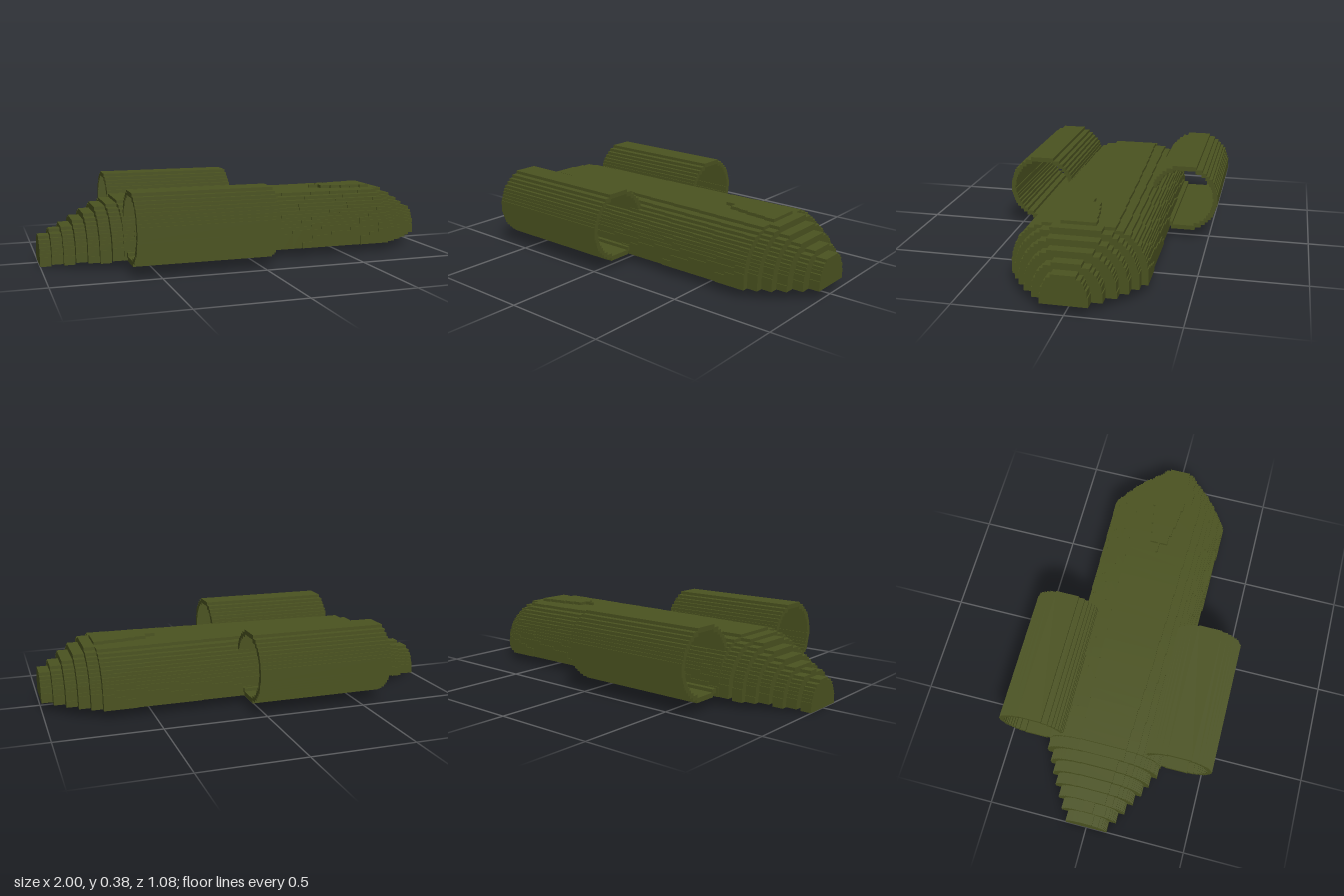
import * as THREE from 'three';
import { mergeGeometries } from 'three/addons/utils/BufferGeometryUtils.js';

const STEP = 0.0152;      // height of one layer
const SLICE = 2 / 38;     // length of one hull slice

// Symmetric staircase outline: rows from y0, each with half width widthAt(centre height)
function steppedOutline(y0, rows, widthAt) {
  const right = [];
  for (let i = 0; i < rows; i++) {
    const w = Math.max(0.005, Math.round(widthAt((i + 0.5) * STEP) / 0.005) * 0.005);
    const y = y0 + i * STEP;
    const last = right[right.length - 1];
    if (last && Math.abs(last.x - w) < 1e-6) last.y = y + STEP;
    else right.push(new THREE.Vector2(w, y), new THREE.Vector2(w, y + STEP));
  }
  const left = right.map((p) => new THREE.Vector2(-p.x, p.y)).reverse();
  return right.concat(left);
}

// Extrude a cross-section along x
function alongX(shape, x, length) {
  const g = new THREE.ExtrudeGeometry(shape, { depth: length, bevelEnabled: false });
  return g.rotateY(Math.PI / 2).translate(x, 0, 0);
}

// One domed hull slice
function hullSlice(index, bottom, height, halfWidth, power) {
  const rows = Math.max(1, Math.floor(height / STEP + 0.5));
  const width = (y) => halfWidth * Math.pow(Math.max(0, 1 - Math.pow(y / height, power)), 1 / power);
  return alongX(new THREE.Shape(steppedOutline(bottom, rows, width)), -1 + index * SLICE, SLICE);
}

// Circular staircase outline centred on the origin
function steppedCircle(radius, rows) {
  const half = (rows * STEP) / 2;
  return steppedOutline(-half, rows, (y) => Math.sqrt(Math.max(0, radius ** 2 - (y - half) ** 2)));
}

export function createModel() {
  const group = new THREE.Group();
  const olive = new THREE.MeshStandardMaterial({ color: 0x4b5320 });
  const add = (name, geometry) => {
    const mesh = new THREE.Mesh(geometry, olive);
    mesh.name = name;
    group.add(mesh);
    return mesh;
  };

  // Tapered tail, dropping toward its tip: [bottom, top, half width]
  const tail = [
    [0, 0.132, 0.105], [0.015, 0.16, 0.14], [0.015, 0.182, 0.17], [0.03, 0.212, 0.2],
    [0.03, 0.242, 0.228], [0.03, 0.272, 0.255], [0.045, 0.29, 0.285],
  ];
  add('tail', mergeGeometries(tail.map(([b, t, w], i) => hullSlice(i, b, t - b, w, 2.6))));

  // Long hull that swells slightly toward the nose
  const hull = [];
  for (let i = 7; i < 33; i++) {
    const t = (i - 7) / 25;
    hull.push(hullSlice(i, 0.045, 0.258 + 0.01 * t, 0.288 + 0.022 * t, 2.8));
  }
  add('hull', mergeGeometries(hull));

  // Rounded nose: [top, half width]
  const nose = [[0.307, 0.282], [0.28, 0.245], [0.25, 0.203], [0.213, 0.155], [0.185, 0.105]];
  add('nose', mergeGeometries(nose.map(([t, w], i) => hullSlice(33 + i, 0.045, t - 0.045, w, 2.5))));

  // Open tubes on both sides
  const ring = new THREE.Shape(steppedCircle(0.17, 22));
  ring.holes.push(new THREE.Path(steppedCircle(0.148, 19)));
  const tube = alongX(ring, -0.62, 0.67);
  for (const side of [1, -1]) {
    add(side > 0 ? 'frontTube' : 'backTube', tube).position.set(0, 0.214, side * 0.37);
  }
  return group;
}
